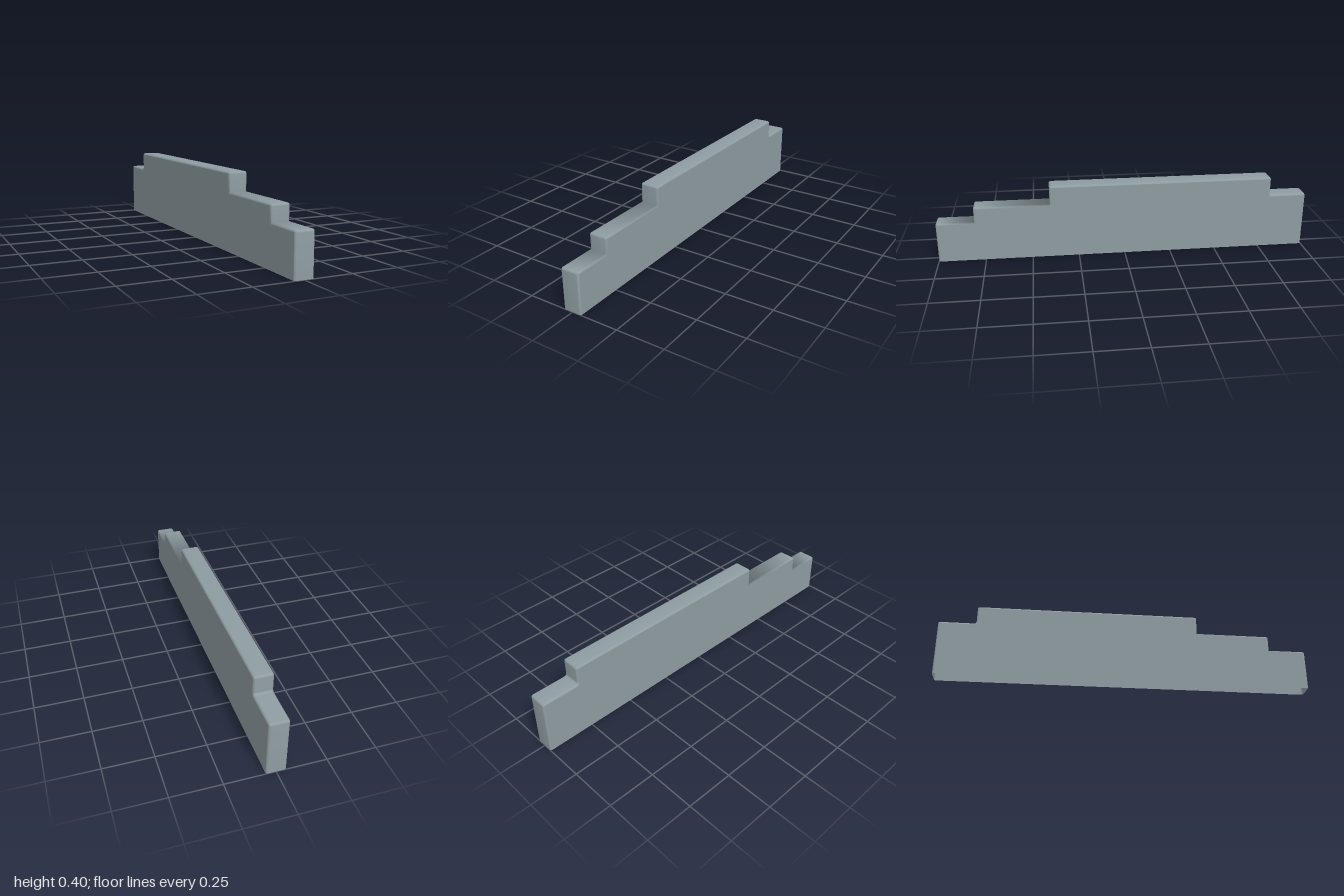
import * as THREE from 'three';
import { toCreasedNormals } from 'three/addons/utils/BufferGeometryUtils.js';

const WIDTH = 0.1, BEVEL = 0.01, RADIUS = 0.012;

// Stepped outline in (z, y); it runs below the ground so the base can be cut open.
const OUTLINE = [
  [-1, -0.05], [1, -0.05], [1, 0.217], [0.8, 0.217], [0.8, 0.3],
  [0.4, 0.3], [0.4, 0.4], [-0.8, 0.4], [-0.8, 0.3], [-1, 0.3],
].map(([z, y]) => new THREE.Vector2(z, y));

// Inner corners of the two front steps
const FRONT_STEPS = [OUTLINE[3], OUTLINE[5]];

// Outline with its corners rounded, except inside the front steps
function steppedShape() {
  const points = [];
  OUTLINE.forEach((p, i) => {
    if (p.y < 0 || FRONT_STEPS.includes(p)) { points.push(p); return; }
    const a = OUTLINE.at(i - 1).clone().sub(p).setLength(RADIUS).add(p);
    const b = OUTLINE[(i + 1) % OUTLINE.length].clone().sub(p).setLength(RADIUS).add(p);
    points.push(...new THREE.QuadraticBezierCurve(a, p, b).getPoints(4));
  });
  return new THREE.Shape(points);
}

// Flatten everything under the ground and drop it, leaving an open base
function openBase(geometry) {
  const pos = geometry.getAttribute('position');
  const kept = [];
  for (let i = 0; i < pos.count; i += 3) {
    const ys = [0, 1, 2].map((k) => Math.max(0, pos.getY(i + k)));
    if (Math.max(...ys) === 0) continue;
    ys.forEach((y, k) => kept.push(pos.getX(i + k), y, pos.getZ(i + k)));
  }
  const open = new THREE.BufferGeometry();
  open.setAttribute('position', new THREE.Float32BufferAttribute(kept, 3));
  return open;
}

// Flat sides, soft bevels, and front treads that blend smoothly into their risers
function smoothShading(geometry) {
  const shaded = toCreasedNormals(geometry, 0.7);
  const pos = shaded.getAttribute('position');
  const normal = shaded.getAttribute('normal');
  for (let i = 0; i < pos.count; i++) {
    const triangle = i - (i % 3);
    const onSide = [0, 1, 2].every((k) => Math.abs(pos.getX(triangle + k)) > WIDTH / 2 - 1e-5);
    const inStep = FRONT_STEPS.some((c) =>
      Math.abs(pos.getZ(i) - c.x) < BEVEL + 1e-3 && pos.getY(i) < c.y + 1e-3 && pos.getY(i) > c.y - 0.02);
    if (onSide) normal.setXYZ(i, Math.sign(pos.getX(i)), 0, 0);
    else if (inStep && normal.getY(i) > 0.01) normal.setXYZ(i, normal.getX(i), 0, normal.getY(i));
  }
  return shaded;
}

export function createModel() {
  const group = new THREE.Group();
  group.name = 'steppedWall';

  // Thin wall with softened edges
  const depth = WIDTH - 2 * BEVEL;
  const solid = new THREE.ExtrudeGeometry(steppedShape(), {
    depth, bevelEnabled: true, bevelThickness: BEVEL, bevelSize: BEVEL,
    bevelOffset: -BEVEL, bevelSegments: 4,
  });
  solid.translate(0, 0, -depth / 2).rotateY(-Math.PI / 2);

  const wall = new THREE.Mesh(
    smoothShading(openBase(solid)),
    new THREE.MeshStandardMaterial({ color: 0x8e9ca1, side: THREE.DoubleSide }),
  );
  wall.name = 'wall';
  group.add(wall);
  return group;
}
